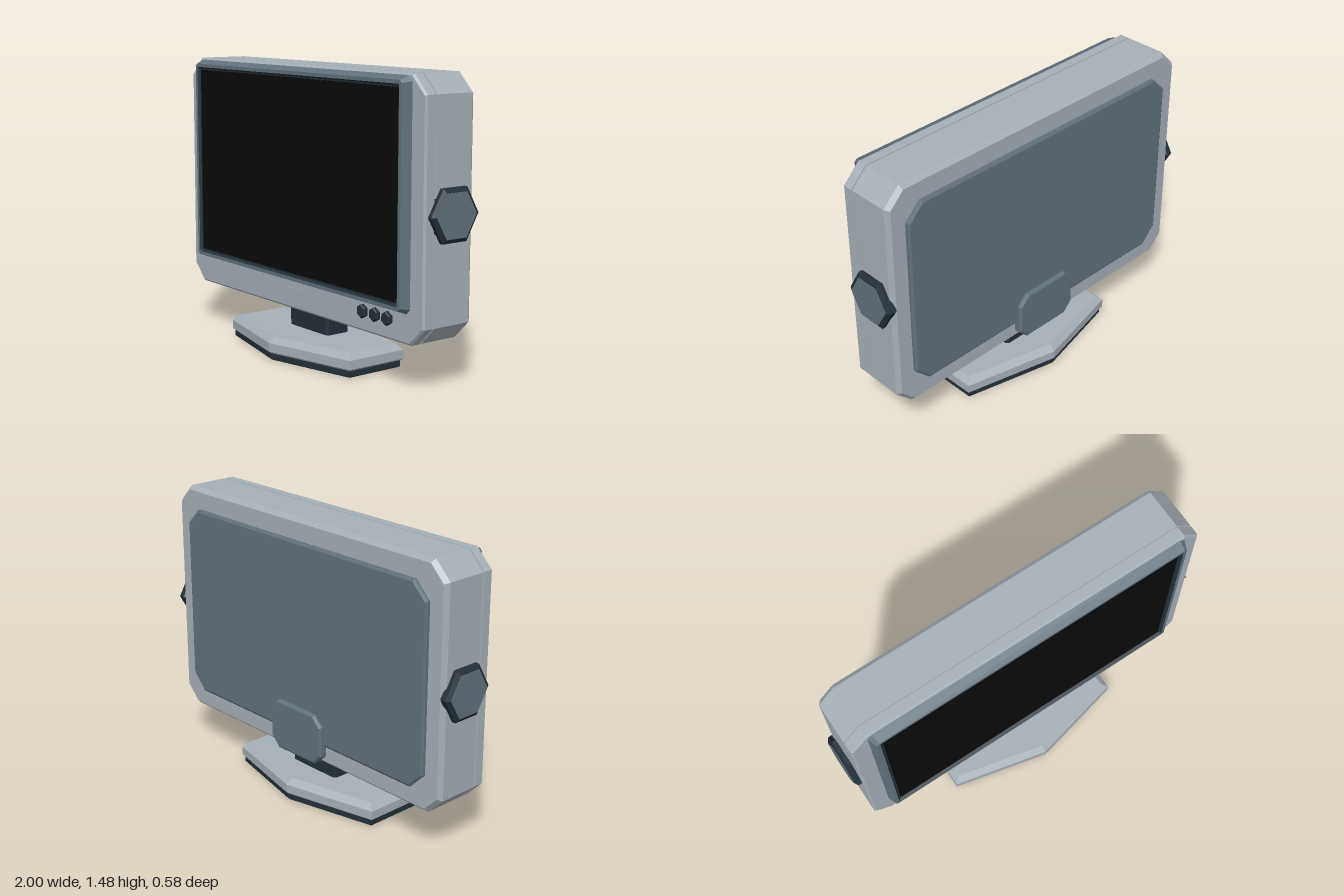
import * as THREE from 'three';

const mat = (name, color) => {
  const m = new THREE.MeshStandardMaterial({ color });
  m.name = name;
  return m;
};

// Rectangle with cut corners, shrunk by d on every side, counter-clockwise
function cutRect(w, h, c, d = 0) {
  const x = w / 2 - d, y = h / 2 - d, k = Math.max(c - d * 0.586, 0.002);
  return [[x, -y + k], [x, y - k], [x - k, y], [-x + k, y],
    [-x, y - k], [-x, -y + k], [-x + k, -y], [x - k, -y]];
}

// Regular hexagon starting at angle a
const hex = (r, a = 0) => Array.from({ length: 6 }, (_, i) =>
  [r * Math.cos(a + i * Math.PI / 3), r * Math.sin(a + i * Math.PI / 3)]);

// Faceted solid through convex outlines [outline, z], running toward +z
function loft(sections, capped = true) {
  const p = [];
  const tri = (...v) => v.forEach(([q, z]) => p.push(q[0], q[1], z));
  for (let s = 0; s < sections.length - 1; s++) {
    const [a, za] = sections[s], [b, zb] = sections[s + 1];
    for (let i = 0; i < a.length; i++) {
      const j = (i + 1) % a.length;
      tri([a[i], za], [a[j], za], [b[j], zb]);
      tri([a[i], za], [b[j], zb], [b[i], zb]);
    }
  }
  if (capped) {
    const [a, za] = sections[0], [b, zb] = sections[sections.length - 1];
    for (let i = 1; i < a.length - 1; i++) {
      tri([a[0], za], [a[i + 1], za], [a[i], za]);
      tri([b[0], zb], [b[i], zb], [b[i + 1], zb]);
    }
  }
  const g = new THREE.BufferGeometry();
  g.setAttribute('position', new THREE.Float32BufferAttribute(p, 3));
  g.computeVertexNormals();
  return g;
}

export function createModel() {
  const casing = mat('casing grey', 0xa6afb7);
  const slate = mat('slate', 0x61717b);
  const dark = mat('dark trim', 0x232f38);
  const black = mat('screen black', 0x0a0a0a);

  const model = new THREE.Group();
  model.name = 'monitor';
  const add = (name, geometry, material, x = 0, y = 0, z = 0) => {
    const m = new THREE.Mesh(geometry, material);
    m.name = name;
    m.position.set(x, y, z);
    model.add(m);
    return m;
  };

  // Casing: one outline with a bevelled back, a seam groove and a bevelled front
  const body = d => cutRect(1.93, 1.245, 0.09, d);
  add('casing', loft([
    [body(0.02), -0.187], [body(0), -0.165], [body(0), 0.048], [body(0.01), 0.05],
    [body(0.01), 0.055], [body(0), 0.057], [body(0), 0.105], [body(0.01), 0.115],
  ]), casing, 0, 0.858);

  // Raised screen surround, inner trim and display
  const frame = d => cutRect(1.748, 1.093, 0.025, d);
  add('bezel', loft([
    [frame(0), 0.112], [frame(0.02), 0.163], [frame(0.038), 0.163],
  ], false), slate, 0, 0.926);
  add('innerTrim', loft([
    [frame(0.038), 0.163], [frame(0.046), 0.15], [frame(0.054), 0.15],
  ], false), dark, 0, 0.926);
  add('screen', new THREE.PlaneGeometry(1.645, 0.99), black, 0, 0.926, 0.15);

  // Front controls
  for (const x of [0.54, 0.63, 0.72]) {
    add('button', loft([
      [hex(0.035, Math.PI / 6), 0.11], [hex(0.035, Math.PI / 6), 0.13],
      [hex(0.028, Math.PI / 6), 0.136],
    ]), dark, x, 0.337);
  }
  add('frontPlate', new THREE.BoxGeometry(0.135, 0.018, 0.006), casing, 0, 0.336, 0.116);

  // Back cover and hinge cover
  const cover = d => cutRect(1.735, 1.025, 0.085, d);
  add('backPanel', loft([
    [cover(0.012), -0.208], [cover(0), -0.2], [cover(0), -0.18],
  ]), slate, 0, 0.858);
  const hinge = d => cutRect(0.38, 0.27, 0.055, d);
  add('hingeCover', loft([
    [hinge(0.012), -0.228], [hinge(0), -0.218], [hinge(0), -0.18],
  ]), slate, 0, 0.37);

  // Hexagonal side knobs
  for (const side of [-1, 1]) {
    const rim = loft([
      [hex(0.135), 0.945], [hex(0.146), 0.955], [hex(0.146), 0.985], [hex(0.124), 0.998],
    ]).rotateY(side * Math.PI / 2);
    add('knobRim', rim, dark, 0, 0.842, -0.05);
    const cap = loft([[hex(0.124), 0.99], [hex(0.122), 1.0]]).rotateY(side * Math.PI / 2);
    add('knobCap', cap, slate, 0, 0.842, -0.05);
  }

  // Neck
  const neck = cutRect(0.32, 0.14, 0.012);
  add('neck', loft([[neck, 0.1], [neck, 0.27]]).rotateX(-Math.PI / 2), dark, 0, 0, -0.03);

  // Elongated six-sided stand on a dark foot
  const plan = d => {
    const x = 0.505 - d, z = 0.17 - d * 0.8, t = 0.288 - d;
    return [[x, -z], [x, z], [0, t], [-x, z], [-x, -z], [0, -t]];
  };
  add('standBase', loft([
    [plan(0.012), 0.035], [plan(0), 0.045], [plan(0), 0.09], [plan(0.032), 0.121],
  ]).rotateX(-Math.PI / 2), casing);
  add('standFoot', loft([
    [plan(0.02), 0], [plan(0.012), 0.006], [plan(0.012), 0.036],
  ]).rotateX(-Math.PI / 2), dark);

  return model;
}
